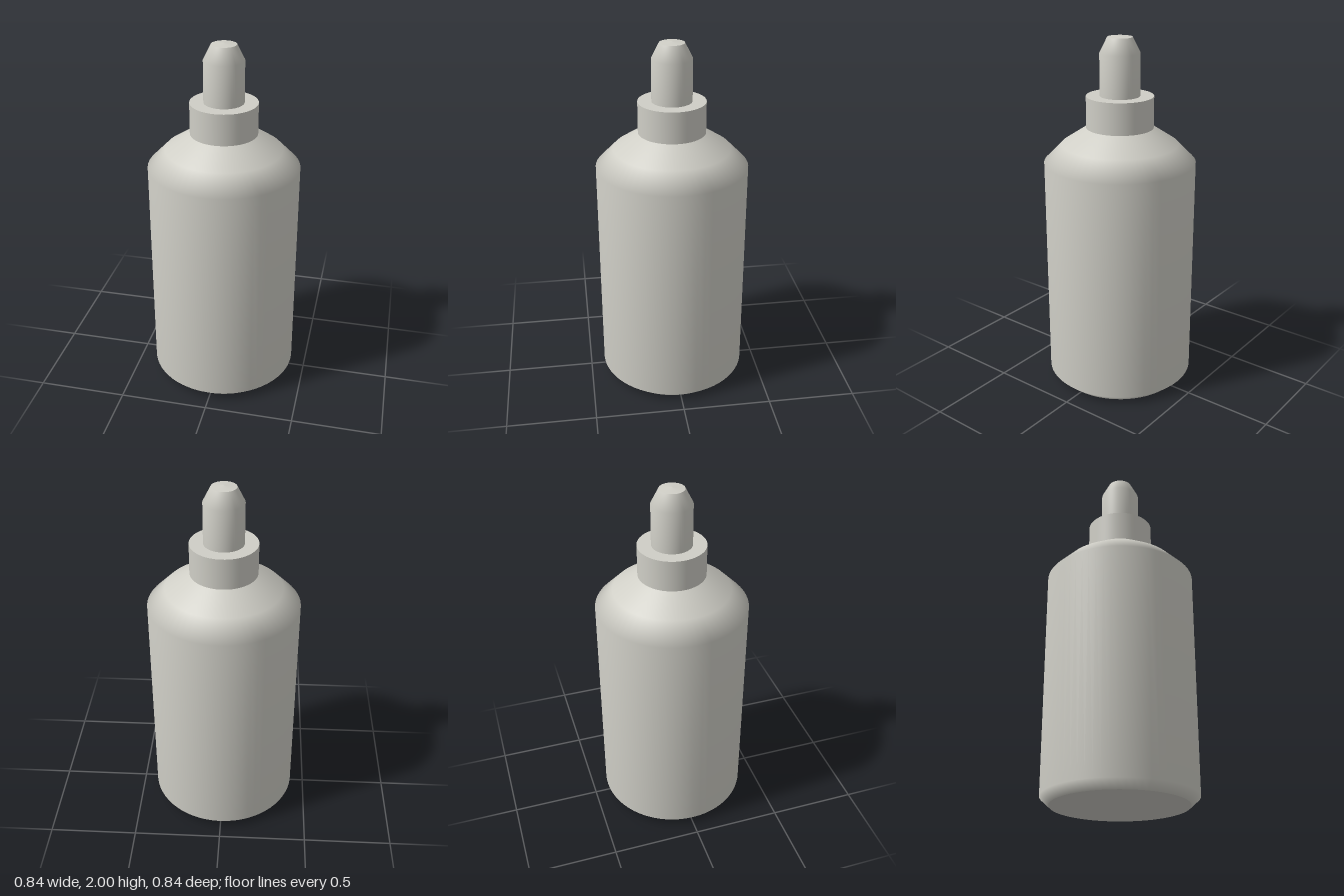
import * as THREE from 'three';

const SEGMENTS = 64;

export function createModel() {
  const model = new THREE.Group();
  model.name = 'dropperBottle';

  const paleGrey = new THREE.MeshStandardMaterial({ color: 0xcfcec6 });
  paleGrey.name = 'paleGrey';

  const add = (name, geometry, y = 0) => {
    const mesh = new THREE.Mesh(geometry, paleGrey);
    mesh.name = name;
    mesh.position.y = y;
    model.add(mesh);
    return mesh;
  };

  // Smooth turned surface from [radius, height] pairs, listed bottom to top
  const turned = (profile) =>
    new THREE.LatheGeometry(profile.map(([r, y]) => new THREE.Vector2(r, y)), SEGMENTS);

  // Body: bevelled foot, straight wall and two-step shoulder
  add('body', turned([[0.37, 0], [0.42, 0.045], [0.42, 1.315], [0.322, 1.415], [0.185, 1.505]]));

  // Flat underside with a sharp rim
  add('base', new THREE.CircleGeometry(0.37, SEGMENTS).rotateX(Math.PI / 2));

  // Collar around the neck
  add('collar', new THREE.CylinderGeometry(0.185, 0.185, 0.175, SEGMENTS), 1.5925);

  // Nozzle with tapered end
  add('nozzle', turned([[0.11, 1.68], [0.11, 1.91], [0.068, 1.993]]));

  // Very shallow tip closing the nozzle
  add('nozzleTip', turned([[0.068, 1.993], [0, 2]]));

  return model;
}
